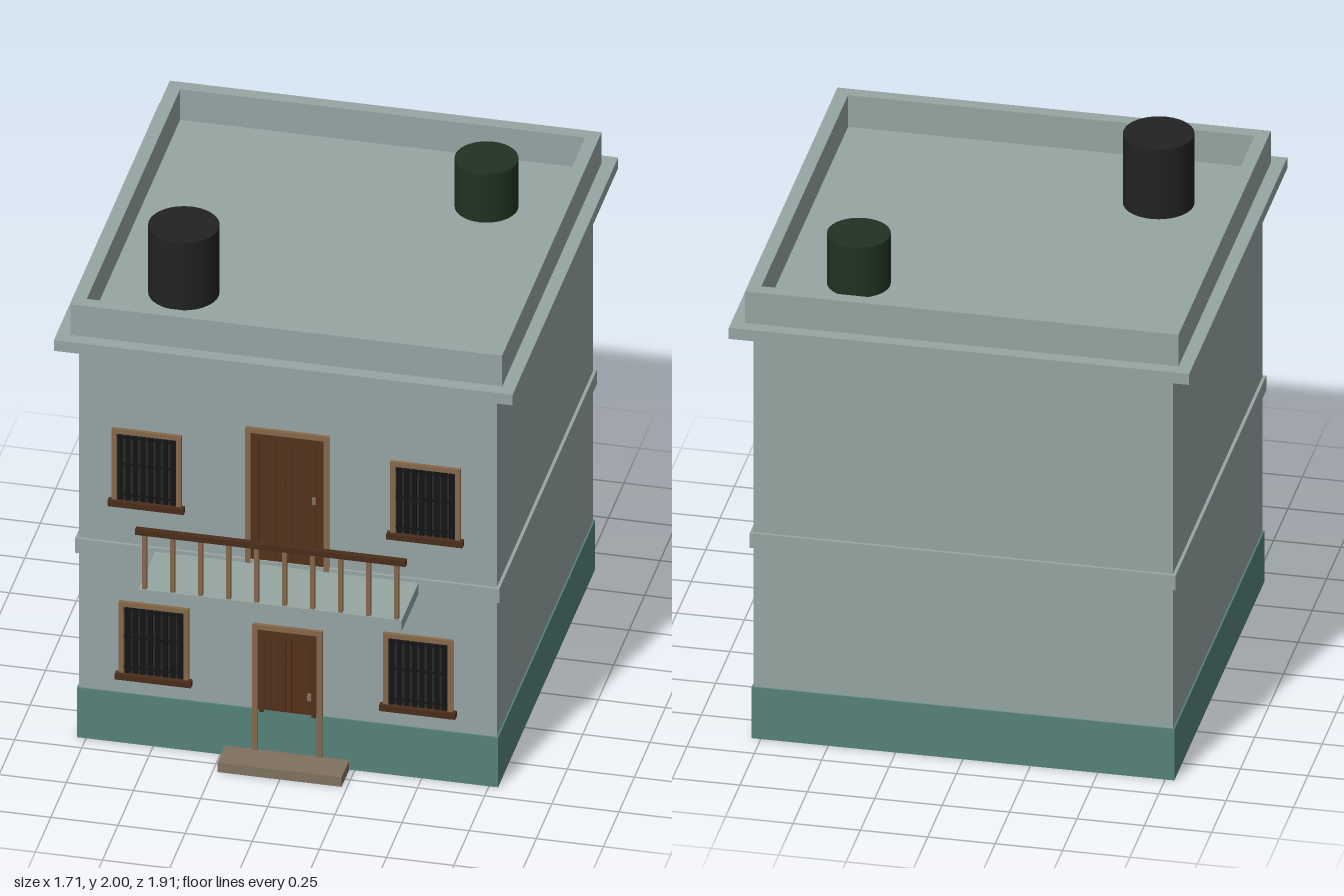
import * as THREE from 'three';

const mat = (name, color) => {
  const m = new THREE.MeshStandardMaterial({ color });
  m.name = name;
  return m;
};

export function createModel() {
  const M = {
    wall: mat('greyGreenPlaster', 0x96a5a3),
    plinth: mat('tealPaint', 0x56827b),
    trim: mat('tanWood', 0x86694a),
    dark: mat('darkWood', 0x4a2d1c),
    door: mat('doorWood', 0x54311a),
    stone: mat('stepStone', 0x80715f),
    glass: mat('darkGlass', 0x26282a),
    iron: mat('blackIron', 0x141414),
    black: mat('blackTank', 0x222222),
    green: mat('greenTank', 0x203222),
  };
  const house = new THREE.Group();
  house.name = 'house';
  const CZ = -0.103; // centre of the building in z
  const WALL = 0.675; // front wall plane

  // Box from its low and high corners
  const box = (parent, name, material, x0, x1, y0, y1, z0, z1) => {
    const m = new THREE.Mesh(new THREE.BoxGeometry(x1 - x0, y1 - y0, z1 - z0), material);
    m.position.set((x0 + x1) / 2, (y0 + y1) / 2, (z0 + z1) / 2);
    m.name = name;
    parent.add(m);
    return m;
  };
  const group = (name) => {
    const g = new THREE.Group();
    g.name = name;
    house.add(g);
    return g;
  };
  // Square slab centred on the building
  const slab = (name, material, half, y0, y1) =>
    box(house, name, material, -half, half, y0, y1, CZ - half, CZ + half);

  // Building body
  slab('walls', M.wall, 0.778, 0.01, 1.68);
  slab('plinth', M.plinth, 0.784, 0, 0.21);
  slab('floorBand', M.wall, 0.79, 0.785, 0.845);
  slab('cornice', M.wall, 0.854, 1.67, 1.715);

  // Parapet ring around the flat roof
  const square = (T, h) => new T([
    new THREE.Vector2(-h, -h), new THREE.Vector2(h, -h),
    new THREE.Vector2(h, h), new THREE.Vector2(-h, h),
  ]);
  const ring = square(THREE.Shape, 0.804);
  ring.holes.push(square(THREE.Path, 0.754));
  const parapet = new THREE.Mesh(
    new THREE.ExtrudeGeometry(ring, { depth: 0.135, bevelEnabled: false }), M.wall);
  parapet.rotation.x = -Math.PI / 2;
  parapet.position.set(0, 1.71, CZ);
  parapet.name = 'parapet';
  house.add(parapet);

  // Roof tanks
  const tank = (name, material, r, top, x, z) => {
    const h = top - 1.71;
    const m = new THREE.Mesh(new THREE.CylinderGeometry(r, r, h, 32), material);
    m.position.set(x, 1.71 + h / 2, z);
    m.name = name;
    house.add(m);
  };
  tank('blackTank', M.black, 0.13, 2, -0.47, 0.315);
  tank('greenTank', M.green, 0.116, 1.92, 0.465, -0.517);

  // Frame of two jambs and a head
  const frame = (g, x0, x1, y0, y1, w) => {
    box(g, 'jamb', M.trim, x0, x0 + w, y0, y1, WALL - 0.01, 0.688);
    box(g, 'jamb', M.trim, x1 - w, x1, y0, y1, WALL - 0.01, 0.688);
    box(g, 'head', M.trim, x0 + w, x1 - w, y1 - w, y1, WALL - 0.01, 0.688);
  };

  // Barred windows with sills
  const windowAt = (name, cx, y0, y1) => {
    const g = group(name);
    frame(g, cx - 0.13, cx + 0.13, y0, y1, 0.019);
    box(g, 'glass', M.glass, cx - 0.111, cx + 0.111, y0, y1 - 0.019, WALL - 0.005, 0.678);
    for (let i = 0; i < 8; i++) {
      const x = cx - 0.0975 + i * 0.0279;
      box(g, 'bar', M.iron, x - 0.009, x + 0.009, y0 + 0.02, y1 - 0.022, 0.678, 0.684);
    }
    for (const t of [0.14, 0.54, 0.89]) {
      const y = y0 + (y1 - y0) * t;
      box(g, 'crossBar', M.iron, cx - 0.111, cx + 0.111, y - 0.004, y + 0.004, 0.677, 0.682);
    }
    box(g, 'sill', M.dark, cx - 0.142, cx + 0.142, y0, y0 + 0.023, WALL - 0.005, 0.702);
  };
  windowAt('lowerRightWindow', -0.497, 0.277, 0.6);
  windowAt('lowerLeftWindow', 0.487, 0.277, 0.6);
  windowAt('upperRightWindow', -0.524, 1.008, 1.33);
  windowAt('upperLeftWindow', 0.514, 1.008, 1.33);

  // Planked doors
  const doorAt = (name, half, frameBase, y0, y1, knobY) => {
    const g = group(name);
    const w = 0.02, inner = half - w;
    frame(g, -half, half, frameBase, y1, w);
    box(g, 'panel', M.dark, -inner, inner, y0, y1 - w, WALL - 0.005, 0.678);
    const s = inner * 0.2;
    const top = y1 - w - 0.004, mid = y0 + (top - y0) * 0.64;
    box(g, 'stile', M.door, -inner + 0.004, -inner + s, y0, top, 0.677, 0.681);
    box(g, 'stile', M.door, inner - s, inner - 0.004, y0, top, 0.677, 0.681);
    box(g, 'topRail', M.door, -inner + s, inner - s, top - 0.028, top, 0.677, 0.681);
    const cuts = [-0.78, -0.58, -0.32, -0.06, 0.14, 0.78];
    for (let i = 0; i < cuts.length - 1; i++) {
      const a = cuts[i] * inner + 0.002, b = cuts[i + 1] * inner - 0.002;
      box(g, 'plank', M.door, a, b, y0, mid - 0.003, 0.677, 0.68);
      box(g, 'plank', M.door, a, b, mid, top - 0.033, 0.677, 0.68);
    }
    box(g, 'handle', M.stone, inner * 0.68, inner * 0.68 + 0.014, knobY - 0.014, knobY + 0.014, 0.68, 0.688);
  };
  doorAt('lowerDoor', 0.13, 0.04, 0.2, 0.572, 0.288);
  doorAt('upperDoor', 0.156, 0.83, 0.84, 1.402, 1.122);

  // Door step
  box(house, 'step', M.stone, -0.232, 0.23, 0, 0.04, 0.67, 0.805);

  // Balcony with railing
  const balcony = group('balcony');
  box(balcony, 'balconySlab', M.wall, -0.491, 0.489, 0.784, 0.83, 0.67, 0.957);
  box(balcony, 'handrail', M.dark, -0.505, 0.503, 1.058, 1.08, 0.932, 0.956);
  for (let i = 0; i < 10; i++) {
    const x = -0.47 + i * 0.1042;
    box(balcony, 'baluster', M.trim, x - 0.008, x + 0.008, 0.83, 1.06, 0.937, 0.953);
  }

  return house;
}
